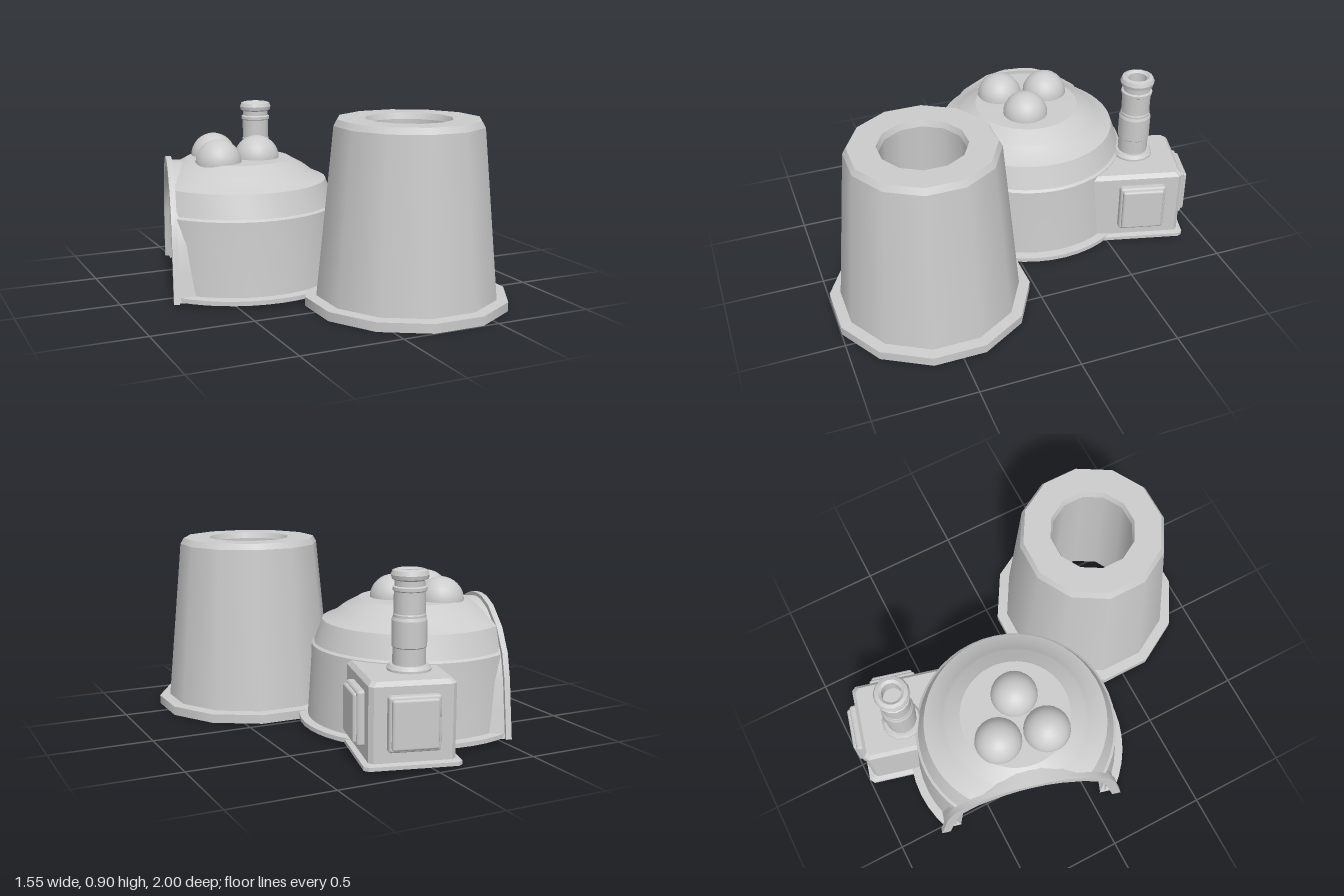
import * as THREE from 'three';
import { toCreasedNormals } from 'three/addons/utils/BufferGeometryUtils.js';
import { RoundedBoxGeometry } from 'three/addons/geometries/RoundedBoxGeometry.js';

const material = new THREE.MeshStandardMaterial({ color: 0xcccccc, side: THREE.DoubleSide });
const TURN = -0.253; // the dome and its annex share one heading

function part(name, geometry, parent, x = 0, y = 0, z = 0) {
  const mesh = new THREE.Mesh(geometry, material);
  mesh.name = name;
  mesh.position.set(x, y, z);
  parent.add(mesh);
  return mesh;
}

function turnedGroup(name, parent, x, z) {
  const group = new THREE.Group();
  group.name = name;
  group.position.set(x, 0, z);
  group.rotation.y = TURN;
  parent.add(group);
  return group;
}

// Smooth around the axis; doubled inner points keep the profile corners sharp
function lathe(profile, sides) {
  const last = profile.length - 1;
  const points = profile.flatMap(([r, y], i) =>
    Array.from({ length: i > 0 && i < last ? 2 : 1 }, () => new THREE.Vector2(r, y)));
  const geometry = new THREE.LatheGeometry(points, sides);
  geometry.normalizeNormals();
  return geometry;
}

// Skin between successive open cross-sections of equal point count
function loft(loops, isHole = () => false) {
  const n = loops[0].length;
  const index = [];
  for (let i = 0; i < loops.length - 1; i++) {
    for (let j = 0; j < n - 1; j++) {
      if (isHole(i, j)) continue;
      const a = i * n + j, b = a + n;
      index.push(a, b, b + 1, a, b + 1, a + 1);
    }
  }
  const geometry = new THREE.BufferGeometry();
  geometry.setAttribute('position', new THREE.Float32BufferAttribute(loops.flat(2), 3));
  geometry.setIndex(index);
  return toCreasedNormals(geometry, 0.5);
}

// Tapered hollow tower with a hanging centre tube
function buildTower(parent) {
  const k = 1 / Math.cos(Math.PI / 12);
  const profile = [
    [0.44, 0], [0.483, 0], [0.483, 0.045], [0.43, 0.05], [0.353, 0.87], [0.336, 0.9],
    [0.205, 0.9], [0.195, 0.87], [0.23, 0.05], [0.237, 0.05], [0.205, 0.86],
    [0.325, 0.86], [0.405, 0.05], [0.44, 0.04], [0.44, 0],
  ].map(([r, y]) => [r * k, y]);
  part('tower', lathe(profile, 12), parent, 0.29, 0, 0.515).rotation.y = Math.PI / 12;
}

// Half of the arch over the opening, as half-width and height
const arch = [[0.485, 0.015], [0.46, 0.15], [0.435, 0.3], [0.395, 0.42], [0.31, 0.53], [0.18, 0.615], [0.08, 0.645], [0, 0.65]];
const insetArch = (d) => arch.map(([t, y]) => [Math.max(t - d, t * 0.8), y < 0.1 ? y : y * (1 - d * 1.5)]);

// Arched band running along -x
function archBand(outerInset, innerInset, depth) {
  const full = (half) => [...half, ...half.slice(0, -1).map(([t, y]) => [-t, y]).reverse()];
  const points = [...full(insetArch(outerInset)), ...full(insetArch(innerInset)).reverse()];
  const shape = new THREE.Shape(points.map(([t, y]) => new THREE.Vector2(t, y)));
  const band = new THREE.ExtrudeGeometry(shape, { depth, bevelEnabled: false });
  band.rotateY(-Math.PI / 2);
  return toCreasedNormals(band, 0.5);
}

// Thin dome shell sliced by a vertical plane at local x = -cut
function buildDome(parent) {
  const dome = turnedGroup('dome', parent, -0.3, -0.22);
  const cut = 0.345;
  const steps = 48;
  const angles = Array.from({ length: steps + 1 }, (_, j) => Math.PI * (2 * j / steps - 1));

  // Rings up the inside, then the outside; each circle stops at the plane
  const loops = [
    [0, 0.62], [0.26, 0.617], [cut, 0.575], [0.39, 0.54], [0.435, 0.515], [0.485, 0.4], [0.51, 0.05],
    [0.51, 0.018], [0.572, 0.018], [0.572, 0.04], [0.53, 0.045], [0.51, 0.35], [0.508, 0.41], [0.495, 0.42],
    [0.455, 0.535], [0.4, 0.558], [0.36, 0.59], [cut, 0.6], [0.285, 0.633], [0.27, 0.642], [0, 0.645],
  ].map(([r, y]) => {
    const limit = r > cut ? Math.PI - Math.acos(cut / r) : Math.PI;
    return angles.map((a) => {
      const b = Math.max(-limit, Math.min(limit, a));
      return [r * Math.cos(b), y, r * Math.sin(b)];
    });
  });

  // Doorway into the annex
  const isDoor = (i, j) => angles[j] > -1.4 && angles[j + 1] < -0.75
    && Math.max(loops[i][0][1], loops[i + 1][0][1]) < 0.41;
  part('domeShell', loft(loops, isDoor), dome);

  // Vaulted passage behind the opening, and its raised rim
  part('vault', archBand(0.018, 0.042, 0.4), dome, 0.06);
  part('archRim', archBand(0, 0.045, 0.028), dome, -0.34);

  // Balls resting on the roof
  for (const [x, z] of [[-0.384, -0.355], [-0.44, -0.12], [-0.21, -0.18]]) {
    part('roofBall', new THREE.SphereGeometry(0.116, 24, 16), parent, x, 0.64, z);
  }
}

// Hollow annex whose open front end runs into the dome
function buildAnnex(parent) {
  const annex = turnedGroup('annex', parent, 0.091, -0.922);
  const plan = (inset, y) => {
    const w = 0.2 - inset, c = 0.02;
    return [[-w, 0.3], [-w, inset + c], [-w + c, inset], [w - c, inset], [w, inset + c], [w, 0.57]]
      .map(([x, z]) => [x, y, z]);
  };
  const frontMiddle = (y) => plan(0, y).map(() => [0, y, 0.435]);
  const loops = [
    frontMiddle(0.375), plan(0.025, 0.375), plan(0.025, 0.015), plan(-0.025, 0.015),
    plan(-0.025, 0.033), plan(0, 0.04), plan(0, 0.385), plan(0.018, 0.405), frontMiddle(0.405),
  ];
  part('annexShell', loft(loops), annex);

  // Raised panels: a frame with a thinner plate on it
  const panel = (x, z, turn) => {
    const group = new THREE.Group();
    group.name = 'panel';
    group.position.set(x, 0.22, z);
    group.rotation.y = turn;
    part('panelFrame', new RoundedBoxGeometry(0.24, 0.255, 0.07, 1, 0.014), group);
    part('panelPlate', new RoundedBoxGeometry(0.215, 0.23, 0.07, 1, 0.012), group, 0, 0, 0.016);
    annex.add(group);
  };
  panel(0.2, 0.21, Math.PI / 2);
  panel(0, 0, Math.PI);

  // Banded chimney with a shallow flue
  const chimney = [
    [0.103, 0.4], [0.103, 0.415], [0.09, 0.432], [0.077, 0.432], [0.077, 0.51], [0.082, 0.515],
    [0.082, 0.635], [0.076, 0.65], [0.076, 0.66], [0.073, 0.665], [0.073, 0.765], [0.08, 0.77], [0.08, 0.785],
    [0.07, 0.79], [0.07, 0.815], [0.084, 0.822], [0.088, 0.84], [0.08, 0.86], [0.062, 0.866],
    [0.048, 0.855], [0.048, 0.78], [0, 0.78],
  ];
  part('chimney', lathe(chimney, 14), parent, 0, 0, -0.715);
}

export function createModel() {
  const model = new THREE.Group();
  model.name = 'domeAndTower';
  buildTower(model);
  buildDome(model);
  buildAnnex(model);
  return model;
}
